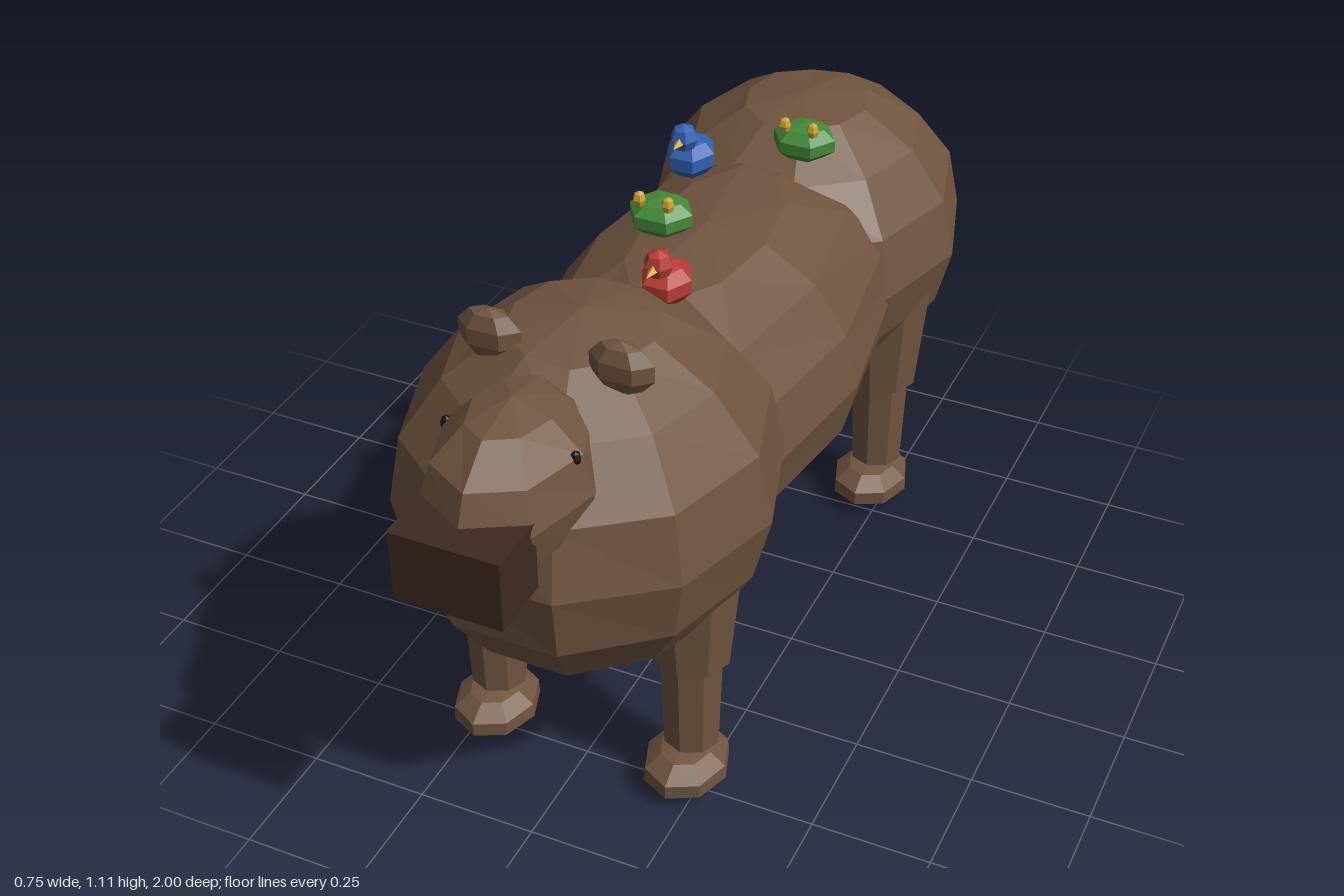
import * as THREE from 'three';

const mat = (name, color, extra = {}) => {
  const m = new THREE.MeshStandardMaterial({ color, flatShading: true, ...extra });
  m.name = name;
  return m;
};

export function createModel() {
  const model = new THREE.Group();
  const fur = mat('brown fur', 0x70553f);
  const snout = mat('dark snout', 0x3e2921);
  const black = mat('black eye', 0x17110e);
  const red = mat('red feathers', 0xb53c35);
  const blue = mat('blue feathers', 0x3160b0);
  const green = mat('green skin', 0x428a3a);
  const yellow = mat('yellow', 0xc9a22e);

  const add = (parent, name, geometry, material, x, y, z) => {
    const mesh = new THREE.Mesh(geometry, material);
    mesh.name = name;
    mesh.position.set(x, y, z);
    parent.add(mesh);
    return mesh;
  };

  // Faceted ellipsoid; a position-based wobble makes the facets uneven
  const blob = (rx, ry, rz, w, h, wobble = 0) => {
    const g = new THREE.SphereGeometry(1, w, h).scale(rx, ry, rz);
    const p = g.attributes.position;
    for (let i = 0; i < p.count; i++) {
      const x = p.getX(i), y = p.getY(i), z = p.getZ(i);
      const k = 1 + wobble * Math.sin(x * 37 + y * 53 + z * 71);
      p.setXYZ(i, x * k, y * k, z * k);
    }
    g.computeVertexNormals();
    return g;
  };

  // Body: chest, belly and rump
  add(model, 'chest', blob(0.375, 0.372, 0.4, 10, 8, 0.012), fur, 0, 0.7, 0.455);
  add(model, 'belly', blob(0.34, 0.312, 0.73, 10, 8, 0.01), fur, 0, 0.647, -0.09);
  add(model, 'rump', blob(0.355, 0.335, 0.388, 10, 8, 0.012), fur, 0, 0.667, -0.63);

  // Head with a boxy snout
  add(model, 'head', blob(0.158, 0.164, 0.215, 8, 6, 0.015), fur, 0, 0.892, 0.735);
  add(model, 'snout', new THREE.BoxGeometry(0.215, 0.145, 0.13), snout, 0.003, 0.842, 0.935);

  // Ears, eyes and legs, mirrored
  for (const s of [-1, 1]) {
    add(model, 'ear', blob(0.068, 0.054, 0.034, 6, 5), fur, s * 0.132, 1.054, 0.57);
    add(model, 'eye', blob(0.012, 0.015, 0.012, 6, 4), black, s * 0.127, 0.972, 0.748);
    for (const [end, z, footZ] of [['front', 0.463, 0.483], ['rear', -0.588, -0.567]]) {
      const leg = new THREE.Group();
      leg.name = end + 'Leg';
      add(leg, 'thigh', new THREE.CylinderGeometry(0.105, 0.078, 0.28, 8), fur, s * 0.223, 0.47, z);
      add(leg, 'shin', new THREE.CylinderGeometry(0.067, 0.059, 0.235, 8), fur, s * 0.22, 0.228, z);
      add(leg, 'foot', blob(0.09, 0.051, 0.11, 8, 5, 0.015), fur, s * 0.218, 0.056, footZ);
      model.add(leg);
    }
  }

  // Small birds riding on the back
  const bird = (name, material, x, y, z) => {
    const g = new THREE.Group();
    g.name = name;
    g.position.set(x, y, z);
    add(g, 'body', blob(0.054, 0.044, 0.062, 6, 5), material, 0, 0, 0);
    add(g, 'head', blob(0.03, 0.03, 0.031, 6, 4), material, 0, 0.058, 0.035);
    const beak = new THREE.ConeGeometry(0.012, 0.034, 4).rotateX(Math.PI / 2);
    add(g, 'beak', beak, yellow, 0, 0.056, 0.072);
    model.add(g);
  };
  bird('redBird', red, 0.07, 1.03, 0.248);
  bird('blueBird', blue, -0.09, 1.026, -0.217);

  // Frogs with raised eyes
  const frog = (x, y, z) => {
    const g = new THREE.Group();
    g.name = 'frog';
    g.position.set(x, y, z);
    add(g, 'body', blob(0.072, 0.04, 0.063, 6, 5), green, 0, 0, 0);
    for (const s of [-1, 1]) {
      add(g, 'frogEye', blob(0.014, 0.018, 0.014, 6, 4), yellow, s * 0.031, 0.045, 0.034);
    }
    model.add(g);
  };
  frog(-0.055, 1.014, 0.005);
  frog(0.09, 1.014, -0.392);

  return model;
}
